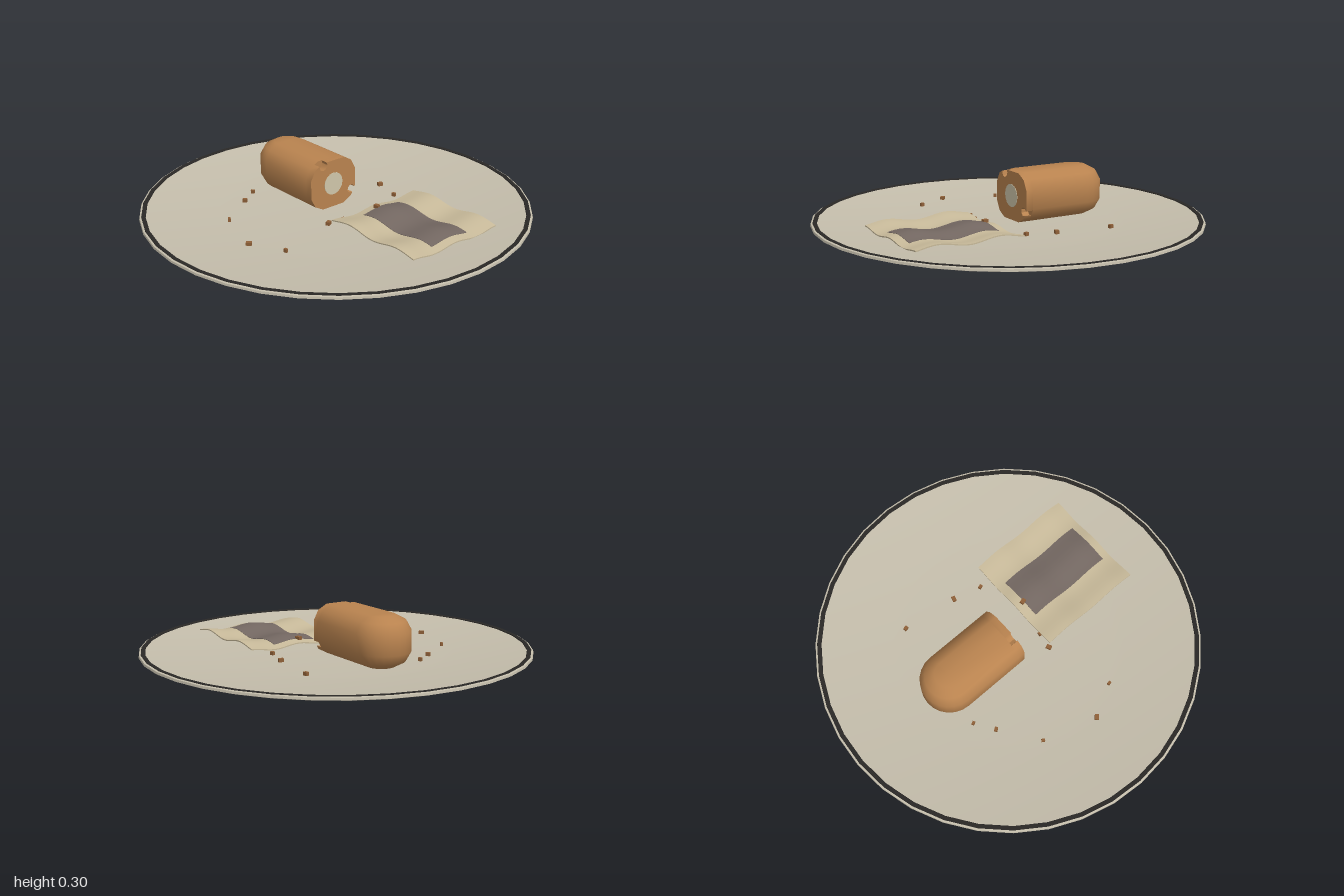
import * as THREE from 'three';
import { toCreasedNormals } from 'three/addons/utils/BufferGeometryUtils.js';

const COLORS = {
  plate: 0xc4bdab, rim: 0x2a2826, crust: 0xb9834f, filling: 0xcfc6aa,
  paper: 0xc8ba9a, print: 0x746862, crumb: 0x8f6038,
};

const points = (list) => list.map(([x, y]) => new THREE.Vector2(x, y));

function part(parent, name, geometry, color, x = 0, y = 0, z = 0) {
  const mesh = new THREE.Mesh(geometry, new THREE.MeshStandardMaterial({ color }));
  mesh.name = name;
  mesh.position.set(x, y, z);
  parent.add(mesh);
  return mesh;
}

// Loaf: a revolved profile whose +x half is pulled out to a straight, flat-ended body
function loafGeometry(length) {
  const profile = points([
    [0, -0.127], [0.07, -0.127], [0.12, -0.1], [0.147, -0.05],
    [0.147, 0.05], [0.12, 0.1], [0.07, 0.127], [0, 0.127],
  ]);
  const geo = new THREE.LatheGeometry(profile, 24);
  const pos = geo.attributes.position;
  for (let i = 0; i < pos.count; i++) {
    const x = pos.getX(i), z = pos.getZ(i);
    const r = Math.hypot(x, z);
    const column = Math.floor(i / profile.length);
    if (column > 0 && column < 12) {
      pos.setX(i, length);
      pos.setZ(i, r * Math.sign(6 - column));
    }
  }
  // straight sides need their own start columns
  geo.computeVertexNormals();
  return toCreasedNormals(geo, 0.75);
}

// Cut end of the loaf with two bitten notches in its outline
function cutEndGeometry(depth) {
  const shape = new THREE.Shape(points([
    [-0.07, -0.127], [0.07, -0.127], [0.12, -0.1],
    [0.129, -0.083], [0.112, -0.084], [0.098, -0.07], [0.098, -0.053],
    [0.112, -0.04], [0.13, -0.042], [0.1435, -0.056],
    [0.147, -0.05], [0.147, 0.05], [0.12, 0.1], [0.07, 0.127],
    [-0.045, 0.127], [-0.04, 0.112], [-0.05, 0.092], [-0.067, 0.085],
    [-0.085, 0.092], [-0.092, 0.115],
    [-0.12, 0.1], [-0.147, 0.05], [-0.147, -0.05], [-0.12, -0.1],
  ]));
  const geo = new THREE.ExtrudeGeometry(shape, { depth, bevelEnabled: false });
  geo.rotateY(Math.PI / 2);
  return toCreasedNormals(geo, 0.75);
}

// Thin sheet that follows a shared ripple
function rippledSheet(x0, x1, z0, z1, y, thickness) {
  const geo = new THREE.BoxGeometry(x1 - x0, thickness, z1 - z0, 24, 1, 24);
  geo.translate((x0 + x1) / 2, y, (z0 + z1) / 2);
  const pos = geo.attributes.position;
  for (let i = 0; i < pos.count; i++) {
    const x = pos.getX(i), z = pos.getZ(i);
    const ripple = 0.011 * Math.cos((2 * Math.PI * (x - 0.28)) / 0.33)
      + 0.008 * Math.cos((2 * Math.PI * (z + 0.13)) / 0.28);
    pos.setY(i, pos.getY(i) + ripple);
  }
  return toCreasedNormals(geo, 0.7);
}

export function createModel() {
  const model = new THREE.Group();
  model.name = 'plateWithSnack';

  // Plate with foot ring
  const plate = new THREE.LatheGeometry(points([
    [0, 0.02], [0.53, 0.02], [0.54, 0], [0.57, 0], [0.585, 0.027],
    [0.98, 0.048], [1, 0.055], [0.998, 0.066], [0.985, 0.07],
    [0.965, 0.066], [0.6, 0.043], [0.55, 0.038], [0, 0.038],
  ]), 36);
  part(model, 'plate', toCreasedNormals(plate, 0.5), COLORS.plate);

  // Dark band around the rim
  const band = new THREE.LatheGeometry(points([
    [0.99, 0.066], [0.988, 0.0715], [0.968, 0.0705], [0.966, 0.064],
  ]), 36);
  part(model, 'rimBand', toCreasedNormals(band, 0.5), COLORS.rim);

  // Snack roll
  const roll = new THREE.Group();
  roll.name = 'snackRoll';
  roll.position.set(-0.393, 0.168, 0);
  model.add(roll);
  part(roll, 'loaf', loafGeometry(0.333), COLORS.crust);
  part(roll, 'cutEnd', cutEndGeometry(0.04), COLORS.crust, 0.333);
  const filling = new THREE.CylinderGeometry(0.06, 0.06, 0.02, 16).rotateZ(Math.PI / 2);
  part(roll, 'filling', toCreasedNormals(filling, 0.7), COLORS.filling, 0.365);

  // Wrapper with printed panel
  part(model, 'wrapper', rippledSheet(0.15, 0.725, -0.41, 0.155, 0.067, 0.006), COLORS.paper);
  part(model, 'wrapperPanel', rippledSheet(0.2, 0.68, -0.25, -0.01, 0.071, 0.002), COLORS.print);

  // Crumbs: x, z, size, turn, and height where one lies on the wrapper
  const crumbs = [
    [-0.355, -0.405, 0.022, 0.2], [-0.06, -0.365, 0.026, 1.3], [0.09, -0.325, 0.02, 0.3],
    [0.195, -0.105, 0.028, 0.2, 0.082], [0.148, 0.08, 0.018, 1.5], [0.135, 0.165, 0.027, 2],
    [-0.425, 0.215, 0.018, 0.5], [-0.36, 0.315, 0.022, 0.6], [-0.22, 0.515, 0.018, 2.6],
    [0.235, 0.515, 0.018, 0.2], [0.065, 0.605, 0.028, 0.8],
  ];
  for (const [x, z, size, turn, y = 0.05] of crumbs) {
    const geo = new THREE.BoxGeometry(size, 0.018, size * 0.75);
    part(model, 'crumb', geo, COLORS.crumb, x, y, z).rotation.y = turn;
  }
  return model;
}
